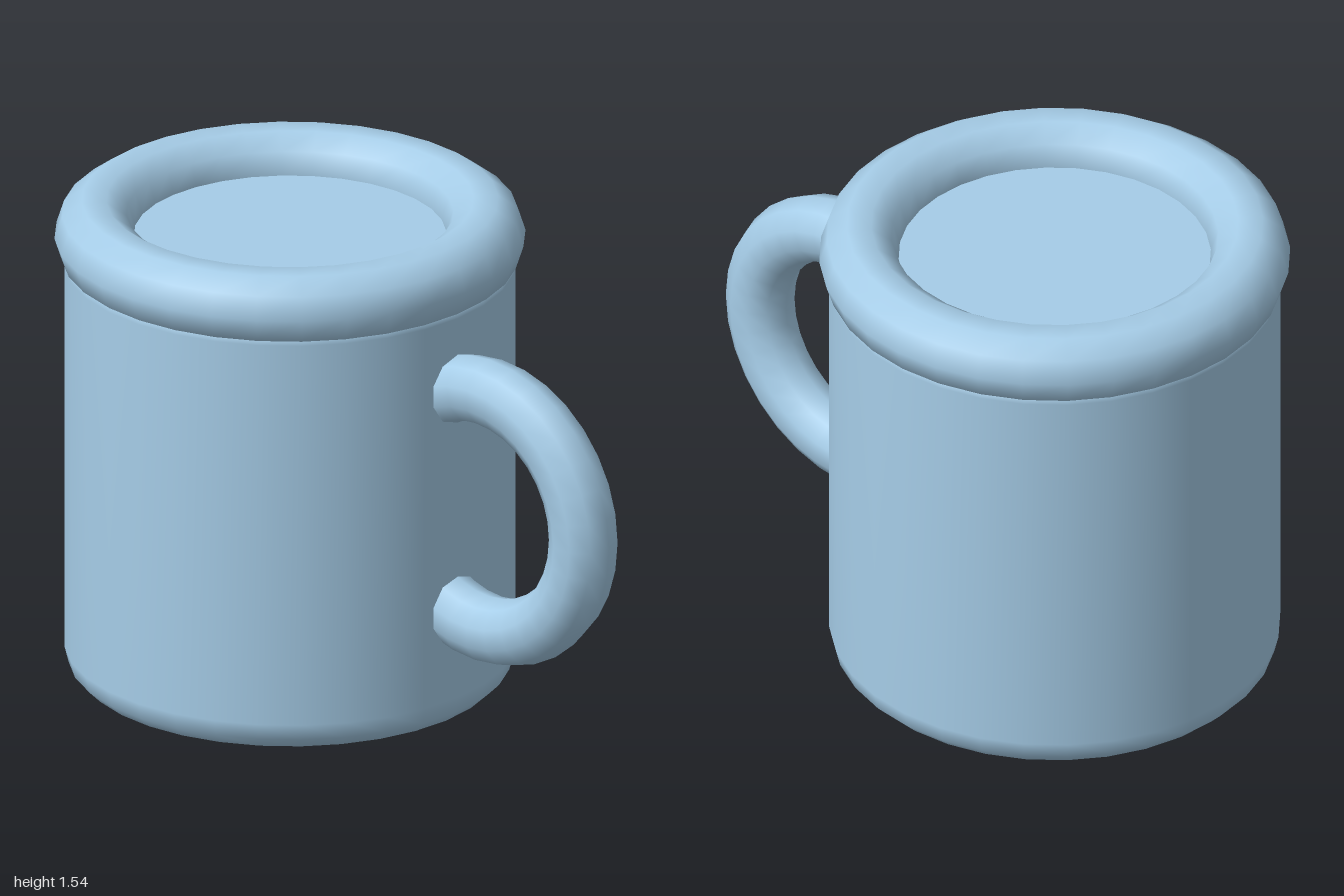
import * as THREE from 'three';

const SIDES = 32;
const TUBE_SIDES = 10;
const AXIS_X = -0.292; // the cup sits left of centre to leave room for the handle

export function createModel() {
  const model = new THREE.Group();
  model.name = 'mug';
  const material = new THREE.MeshStandardMaterial({ color: 0xa6cde8 });

  const add = (name, geometry, x, y, parent = model) => {
    const mesh = new THREE.Mesh(geometry, material);
    mesh.name = name;
    mesh.position.set(x, y, 0);
    parent.add(mesh);
    return mesh;
  };

  const cup = new THREE.Group();
  cup.name = 'cup';
  cup.position.x = AXIS_X;
  model.add(cup);

  // Wall with a rounded lower edge, tucked into the rim at the top
  const profile = [[0.585, 0], [0.632, 0.013], [0.667, 0.048], [0.68, 0.1], [0.68, 1.33], [0.672, 1.36], [0.6, 1.4]];
  const wall = new THREE.LatheGeometry(profile.map(([r, y]) => new THREE.Vector2(r, y)), SIDES);
  add('wall', wall, 0, 0, cup);

  // Flat base
  add('base', new THREE.CircleGeometry(0.585, SIDES).rotateX(Math.PI / 2), 0, 0, cup);

  // Thick rolled rim
  const rim = new THREE.TorusGeometry(0.59, 0.12, TUBE_SIDES, SIDES).rotateX(-Math.PI / 2);
  add('rim', rim, 0, 1.421, cup);

  // Flat surface filling the mouth
  add('filling', new THREE.CircleGeometry(0.55, SIDES).rotateX(-Math.PI / 2), 0, 1.423, cup);

  // Ring handle whose ends run into the wall
  const sweep = Math.PI * 1.375;
  const handle = new THREE.TorusGeometry(0.384, 0.104, TUBE_SIDES, 22, sweep).rotateZ(-sweep / 2);
  add('handle', handle, 0.512, 0.743);

  return model;
}
